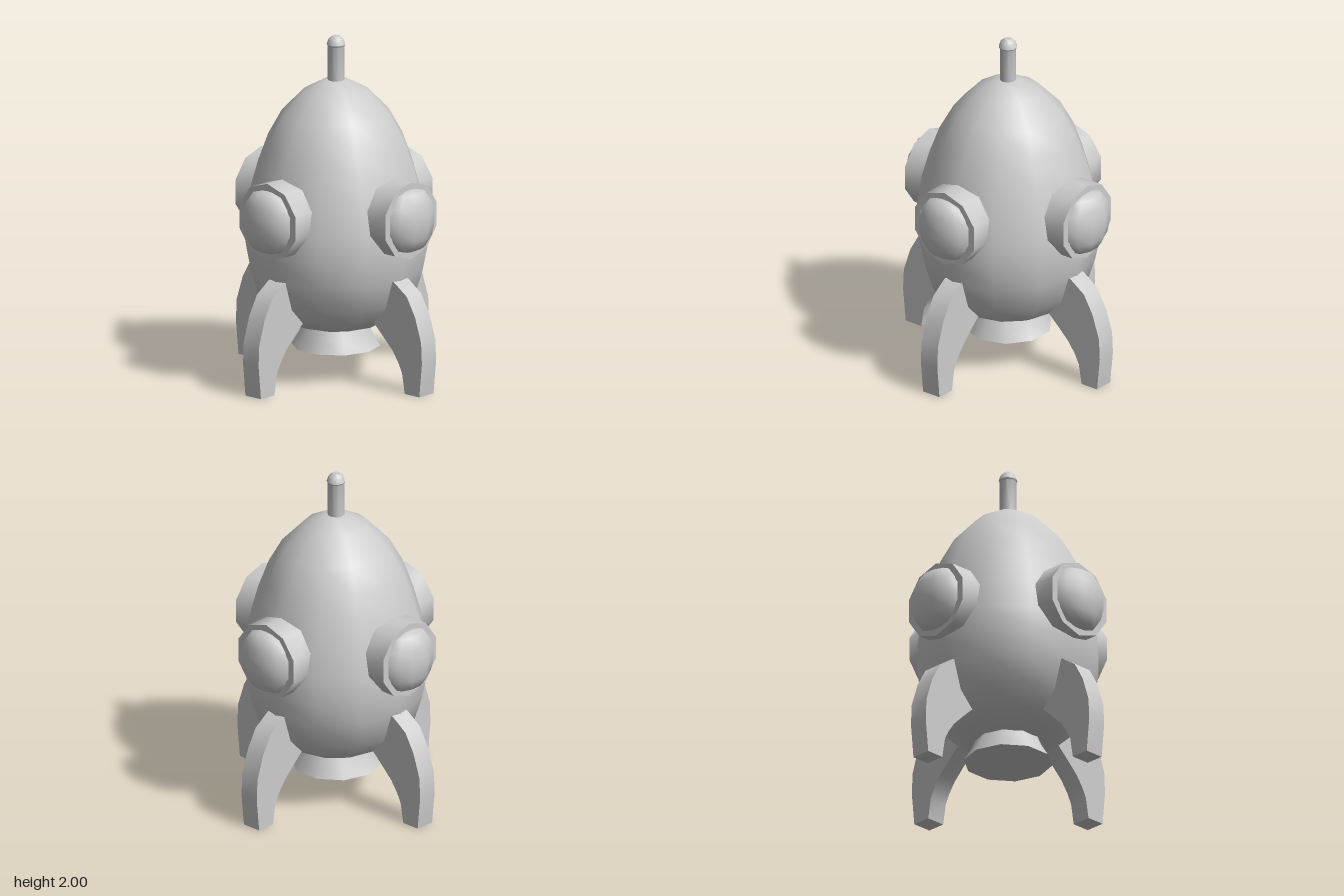
import * as THREE from 'three';
import { toCreasedNormals } from 'three/addons/utils/BufferGeometryUtils.js';

const material = new THREE.MeshStandardMaterial({ color: 0xcccccc });
const vectors = (pairs) => pairs.map(([x, y]) => new THREE.Vector2(x, y));

function part(name, geometry, crease = 0.72) {
  const mesh = new THREE.Mesh(toCreasedNormals(geometry, crease), material);
  mesh.name = name;
  return mesh;
}

// Profiles run from the bottom axis point to the top axis point
const lathe = (pairs, sides, start = 0) =>
  new THREE.LatheGeometry(vectors(pairs), sides, start);

// Points of a regular polygon with one corner at the top
function polygon(radius, sides) {
  return Array.from({ length: sides }, (_, i) => {
    const a = Math.PI / 2 + (i * 2 * Math.PI) / sides;
    return new THREE.Vector2(radius * Math.cos(a), radius * Math.sin(a));
  });
}

// Round window facing +z: a recessed ring with a bulging pane
function createPorthole() {
  const group = new THREE.Group();
  group.name = 'porthole';

  const outline = new THREE.Shape(polygon(0.228, 10));
  outline.holes.push(new THREE.Path(polygon(0.185, 10)));
  const ring = new THREE.ExtrudeGeometry(outline, { depth: 0.22, bevelEnabled: false });
  ring.translate(0, 0, 0.36);
  group.add(part('portholeRing', ring));

  const pane = lathe([
    [0, -0.185], [0.045, -0.182], [0.112, -0.163], [0.16, -0.1], [0.18, -0.03],
    [0.18, 0.03], [0.16, 0.1], [0.112, 0.163], [0.045, 0.182], [0, 0.185],
  ], 10, Math.PI / 10);
  pane.scale(1, 1, 0.105 / 0.18);
  pane.translate(0, 0, 0.568);
  group.add(part('portholePane', pane, 0.9));

  group.position.y = 1.012;
  return group;
}

// Curved landing leg reaching out along +z
function createLeg() {
  const outline = new THREE.Shape(vectors([
    [0.587, 0], [0.70, 0], [0.72, 0.196], [0.714, 0.323], [0.667, 0.466],
    [0.603, 0.577], [0.503, 0.645], [0.40, 0.64], [0.27, 0.42],
    [0.355, 0.37], [0.423, 0.307], [0.492, 0.24], [0.535, 0.18], [0.566, 0.12],
  ]));
  const geometry = new THREE.ExtrudeGeometry(outline, { depth: 0.12, bevelEnabled: false });
  geometry.translate(0, 0, -0.06);
  geometry.rotateY(-Math.PI / 2);
  return part('leg', geometry, 0.5);
}

export function createModel() {
  const model = new THREE.Group();
  model.name = 'rocket';

  // Egg-shaped hull
  model.add(part('hull', lathe([
    [0, 0.296], [0.185, 0.296], [0.265, 0.32], [0.355, 0.37], [0.455, 0.475],
    [0.505, 0.635], [0.535, 0.785], [0.525, 0.93], [0.497, 1.09], [0.455, 1.24],
    [0.397, 1.40], [0.317, 1.545], [0.188, 1.68], [0.072, 1.742], [0, 1.742],
  ], 12)));

  // Flared engine nozzle with a flat bottom
  model.add(part('nozzle', lathe([
    [0, 0.175], [0.255, 0.175], [0.213, 0.245], [0.185, 0.31], [0, 0.31],
  ], 10)));

  // Nose antenna with a rounded tip
  model.add(part('antenna', lathe([
    [0, 1.72], [0.048, 1.72], [0.048, 1.94], [0.054, 1.95], [0.043, 1.982],
    [0.022, 2], [0, 2],
  ], 10)));

  // Four portholes and four legs around the hull
  for (let i = 0; i < 4; i++) {
    for (const piece of [createPorthole(), createLeg()]) {
      piece.rotation.y = (i * Math.PI) / 2;
      model.add(piece);
    }
  }
  return model;
}
